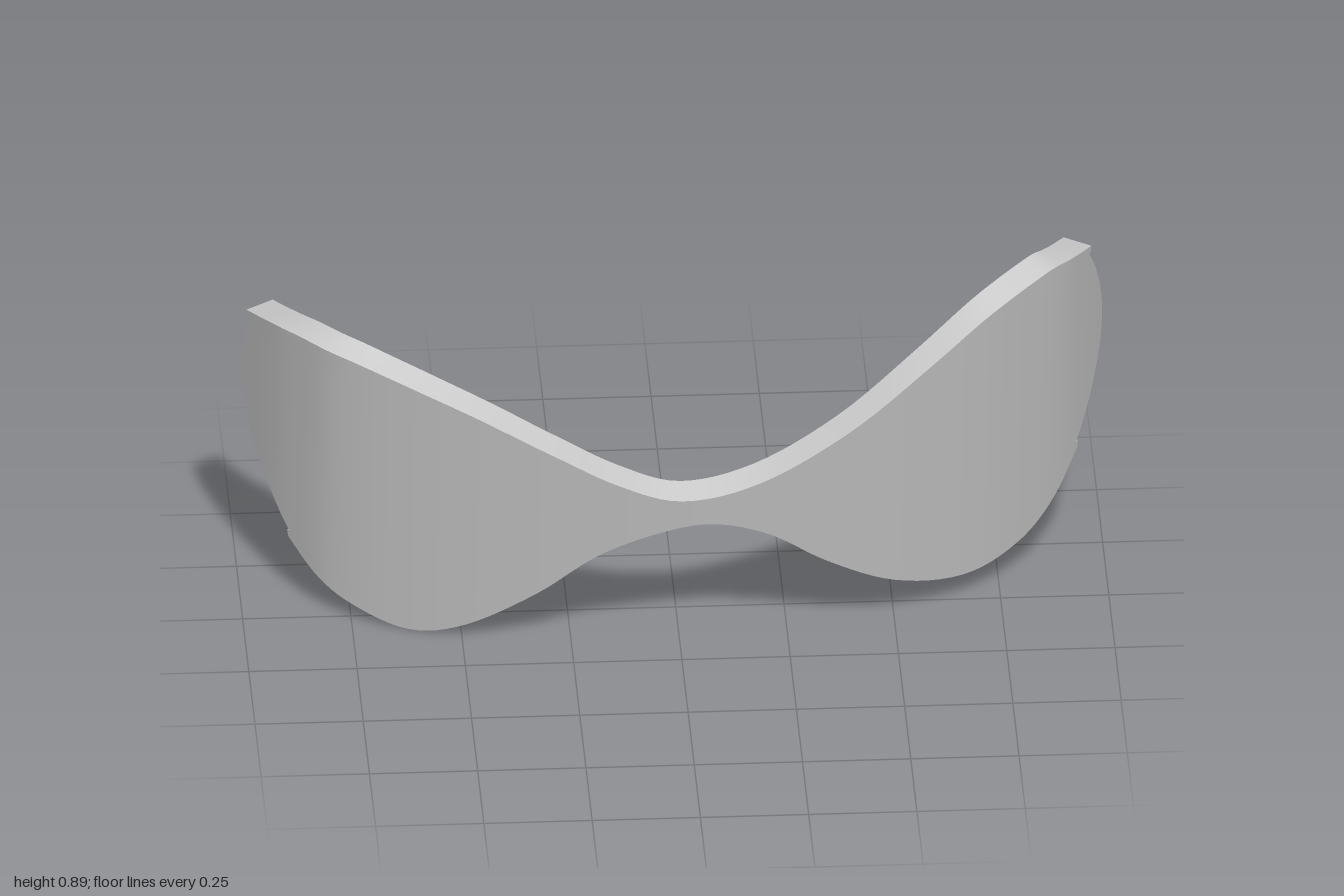
import * as THREE from 'three';
import { toCreasedNormals } from 'three/addons/utils/BufferGeometryUtils.js';

const THICK = 0.07; // shell thickness
const LEAN = 0.24; // how far the shell leans forward per unit of height
const spline = (pts) => new THREE.SplineCurve(pts.map(([x, y]) => new THREE.Vector2(x, y)));

// Upper and lower edges of the front surface, seen from the front
const topEdge = spline([
  [-0.985, 0.755], [-0.91, 0.785], [-0.82, 0.79], [-0.7, 0.76], [-0.5, 0.675],
  [-0.3, 0.565], [-0.15, 0.48], [0, 0.43], [0.18, 0.465], [0.38, 0.58],
  [0.58, 0.735], [0.72, 0.835], [0.85, 0.88], [0.91, 0.875], [0.967, 0.85]]);
const bottomEdge = spline([
  [-0.89, 0.17], [-0.83, 0.1], [-0.75, 0.045], [-0.62, 0], [-0.49, 0.035],
  [-0.33, 0.145], [-0.17, 0.28], [0.03, 0.355], [0.19, 0.315], [0.34, 0.205],
  [0.5, 0.11], [0.66, 0.07], [0.79, 0.1], [0.87, 0.165], [0.94, 0.275]]);

// Wrap-around curve: depth at y = 0 for each x
const wrap = [
  [-1.02, -0.36], [-0.98, -0.28], [-0.95, -0.22], [-0.9, -0.135], [-0.8, -0.02],
  [-0.62, 0.07], [-0.4, 0.13], [-0.2, 0.16], [0, 0.17], [0.2, 0.147], [0.4, 0.105],
  [0.55, 0.05], [0.7, -0.03], [0.8, -0.11], [0.9, -0.215], [0.96, -0.32], [1.02, -0.45]];
const slopeAt = (i) => {
  const a = wrap[Math.max(i - 1, 0)], b = wrap[Math.min(i + 1, wrap.length - 1)];
  return (b[1] - a[1]) / (b[0] - a[0]);
};
function depth(x) {
  let i = 0;
  while (i < wrap.length - 2 && x > wrap[i + 1][0]) i++;
  const [x0, z0] = wrap[i], [x1, z1] = wrap[i + 1];
  const h = x1 - x0, t = (x - x0) / h, t2 = t * t, t3 = t2 * t;
  return z0 * (2 * t3 - 3 * t2 + 1) + z1 * (3 * t2 - 2 * t3)
    + h * (slopeAt(i) * (t3 - 2 * t2 + t) + slopeAt(i + 1) * (t3 - t2));
}

// Ends bulge outward between two small corner tabs
const bulge = (v) => (v < 0.032 || v > 0.968 ? 0 : -0.014 + 0.059 * Math.sin(Math.PI * v) ** 0.8);

// Point on the front (side 0) or back (side 1) of the shell
function shellPoint(u, v, side) {
  const p = bottomEdge.getPoint(u).lerp(topEdge.getPoint(u), v);
  const x = p.x + bulge(v) * (u ** 6 - (1 - u) ** 6);
  const e = 0.02;
  const slope = (depth(x + e) - depth(x - e)) / (2 * e);
  const normal = new THREE.Vector3(-slope, -LEAN, 1).normalize();
  return new THREE.Vector3(x, p.y, depth(x) + LEAN * p.y).addScaledVector(normal, -THICK * side);
}

export function createModel() {
  const us = Array.from({ length: 85 }, (_, i) => i / 84);
  const vs = [0, 0.03, 0.034];
  for (let i = 1; i < 16; i++) vs.push(0.034 + (0.932 * i) / 16);
  vs.push(0.966, 0.97, 1);

  const positions = [];
  // Adds a patch of quads; corners run anticlockwise seen from outside
  function patch(as, bs, point) {
    for (let i = 0; i < as.length - 1; i++) {
      for (let j = 0; j < bs.length - 1; j++) {
        const a = point(as[i], bs[j]), b = point(as[i + 1], bs[j]);
        const c = point(as[i + 1], bs[j + 1]), d = point(as[i], bs[j + 1]);
        for (const p of [a, b, c, a, c, d]) positions.push(p.x, p.y, p.z);
      }
    }
  }
  const sides = [0, 1];
  patch(us, vs, (u, v) => shellPoint(u, v, 0)); // front
  patch(vs, us, (v, u) => shellPoint(u, v, 1)); // back
  patch(us, sides, (u, s) => shellPoint(u, 1, s)); // upper rim
  patch(sides, us, (s, u) => shellPoint(u, 0, s)); // lower rim
  patch(sides, vs, (s, v) => shellPoint(1, v, s)); // left end
  patch(vs, sides, (v, s) => shellPoint(0, v, s)); // right end

  // The lower rim and left end share one winding rule with their opposites
  const geometry = new THREE.BufferGeometry();
  geometry.setAttribute('position', new THREE.Float32BufferAttribute(positions, 3));
  const shell = new THREE.Mesh(
    toCreasedNormals(geometry, 0.6),
    new THREE.MeshStandardMaterial({ color: 0xcccccc, side: THREE.DoubleSide }));
  shell.name = 'curvedShell';

  const model = new THREE.Group();
  model.name = 'curvedMask';
  model.add(shell);
  return model;
}
